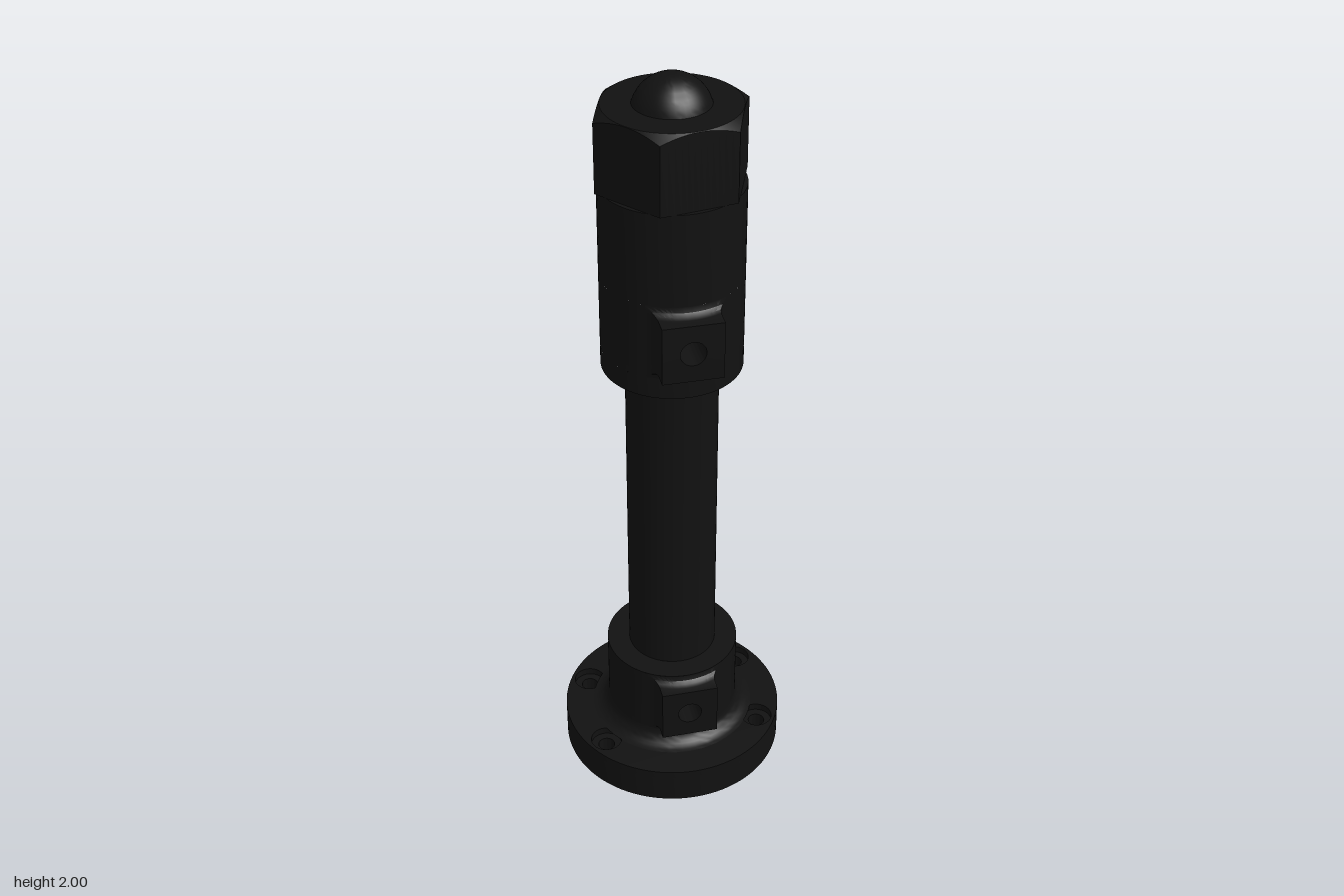
import * as THREE from 'three';
import { toCreasedNormals } from 'three/addons/utils/BufferGeometryUtils.js';

const N = 72; // samples around every loft ring
const R = 0.178; // collar radius
const PIPE = 0.118;
const PATCH = 0.1; // half size of the collar patch around a cross hole

const material = new THREE.MeshStandardMaterial({ color: 0x111111 });

function add(parent, name, geometry) {
  const mesh = new THREE.Mesh(toCreasedNormals(geometry, 0.5), material);
  mesh.name = name;
  parent.add(mesh);
  return mesh;
}

// Joins closed rings of N points with quads
function loft(rings) {
  const position = rings.flat().flatMap((p) => [p.x, p.y, p.z]);
  const index = [];
  for (let i = 0; i < rings.length - 1; i++) {
    for (let j = 0; j < N; j++) {
      const k = (j + 1) % N;
      const a = i * N + j, d = i * N + k, b = a + N, c = d + N;
      index.push(a, b, c, a, c, d);
    }
  }
  const g = new THREE.BufferGeometry();
  g.setAttribute('position', new THREE.Float32BufferAttribute(position, 3));
  g.setIndex(index);
  g.computeVertexNormals();
  return g;
}

// Radius of a regular polygon in a given direction; corners start at angle "corner"
function polygonRadius(sides, inradius, corner, angle) {
  const step = (2 * Math.PI) / sides;
  const local = (((angle - corner) % step) + step) % step;
  return inradius / Math.cos(local - step / 2);
}

// Ring facing +z, with depth given by a function of x
function ring(radius, depth) {
  return Array.from({ length: N }, (_, j) => {
    const a = (j / N) * 2 * Math.PI;
    const r = radius(a);
    const x = r * Math.cos(a);
    return new THREE.Vector3(x, r * Math.sin(a), depth(x));
  });
}
const circle = (r) => () => r;
const square = (half) => (a) => polygonRadius(4, half, Math.PI / 4, a);
const hexagon = (inradius) => (a) => polygonRadius(6, inradius, 0, a);
const flat = (z) => () => z;
const onCollar = (offset) => (x) => Math.sqrt(R * R - x * x) + offset;

// Band of the collar with a cross hole, a front boss and a rear nut pocket
function crossHoleBand(parent, y, bossZ) {
  const band = new THREE.Group();
  band.name = 'crossHoleBand';
  band.position.y = y;
  parent.add(band);

  add(band, 'screwBoss', loft([
    ring(circle(0.032), flat(0)),
    ring(circle(0.032), flat(bossZ)),
    ring(square(0.076), flat(bossZ)),
    ring(square(0.076), onCollar(0.024)),
    ring(square(0.079), onCollar(0.012)),
    ring(square(0.086), onCollar(0.004)),
    ring(square(0.098), onCollar(0)),
    ring(square(PATCH), onCollar(0)),
  ]));

  add(band, 'nutPocket', loft([
    ring(circle(0.032), flat(0)),
    ring(circle(0.032), flat(0.135)),
    ring(hexagon(0.06), flat(0.135)),
    ring(hexagon(0.06), onCollar(0)),
    ring(square(PATCH), onCollar(0)),
  ])).rotation.y = Math.PI;

  const edge = Math.asin(PATCH / R);
  for (const start of [edge, Math.PI + edge]) {
    add(band, 'collarSide',
      new THREE.CylinderGeometry(R, R, 2 * PATCH, 32, 1, true, start, Math.PI - 2 * edge));
  }
}

function lathe(points) {
  return new THREE.LatheGeometry(points.map(([r, y]) => new THREE.Vector2(r, y)), 72);
}

// Layer of the flange with four bolt holes and a central opening
function flangeLayer(parent, name, y, height, boltRadius, openingRadius) {
  const shape = new THREE.Shape().absarc(0, 0, 0.3, 0, 2 * Math.PI);
  const cut = (x, z, r) => shape.holes.push(new THREE.Path().absarc(x, z, r, 0, 2 * Math.PI, true));
  for (const sx of [-1, 1]) for (const sz of [-1, 1]) cut(sx * 0.215, sz * 0.125, boltRadius);
  cut(0, 0, openingRadius);
  const g = new THREE.ExtrudeGeometry(shape, { depth: height, bevelEnabled: false, curveSegments: 48 });
  g.rotateX(-Math.PI / 2);
  g.translate(0, y, 0);
  add(parent, name, g);
}

export function createModel() {
  const model = new THREE.Group();
  model.name = 'flangedPost';

  // Flange with counterbored bolt holes and a recess underneath
  const base = new THREE.Group();
  base.name = 'base';
  model.add(base);
  flangeLayer(base, 'flangeBottom', 0, 0.08, 0.022, 0.15);
  flangeLayer(base, 'flangeTop', 0.08, 0.02, 0.042, 0.15);
  const recess = new THREE.CircleGeometry(0.15, 48);
  recess.rotateX(Math.PI / 2);
  recess.translate(0, 0.06, 0);
  add(base, 'recessFloor', recess);

  // Fillet from flange to lower collar
  const fillet = [];
  for (let i = 0; i <= 8; i++) {
    const a = (i / 8) * Math.PI / 2;
    fillet.push([R + 0.045 * (1 - Math.sin(a)), 0.145 - 0.045 * Math.cos(a)]);
  }
  add(base, 'baseFillet', lathe(fillet));
  crossHoleBand(base, 0.24, 0.22);
  add(base, 'lowerCollarTop', lathe([[R, 0.34], [PIPE, 0.34]]));

  // Pipe between the collars
  const pipe = new THREE.CylinderGeometry(PIPE, PIPE, 0.9, 64, 1, true);
  pipe.translate(0, 0.79, 0);
  add(model, 'pipe', pipe);

  // Upper collar
  const head = new THREE.Group();
  head.name = 'head';
  model.add(head);
  const mid = 1.395;
  add(head, 'collarFoot', lathe([[PIPE, 1.24], [R, 1.24], [R, mid - PATCH]]));
  crossHoleBand(head, mid, 0.228);
  add(head, 'collarBody', lathe([[R, mid + PATCH], [R, 1.735], [0.1, 1.735]]));

  // Hex cap with chamfered corners
  const capRing = (radius, height) => Array.from({ length: N }, (_, j) => {
    const a = (j / N) * 2 * Math.PI;
    const r = radius(a);
    return new THREE.Vector3(r * Math.cos(a), height(r), -r * Math.sin(a));
  });
  const capHex = hexagon(0.167);
  add(head, 'hexCap', loft([
    capRing(circle(0.02), flat(1.93)),
    capRing(circle(0.166), flat(1.93)),
    capRing(capHex, (r) => 1.93 - 0.7 * (r - 0.166)),
    capRing(capHex, flat(1.735)),
    capRing(circle(0.02), flat(1.735)),
  ])).rotation.y = 0.16;

  // Ball seated in the cap
  const ball = new THREE.SphereGeometry(0.098, 48, 32);
  ball.translate(0, 1.902, 0);
  add(head, 'ball', ball);

  return model;
}
